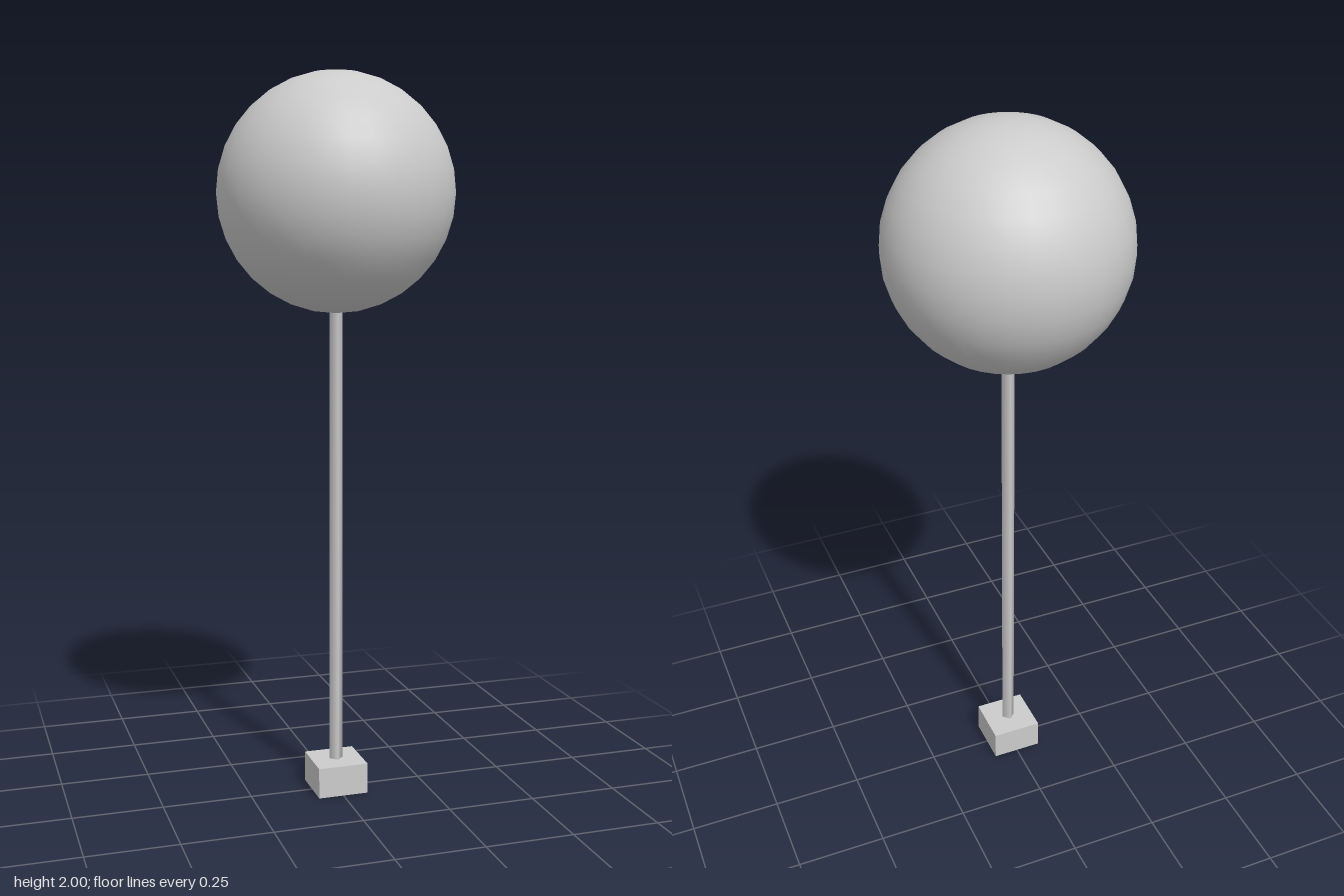
import * as THREE from 'three';
import { mergeVertices } from 'three/addons/utils/BufferGeometryUtils.js';

const material = new THREE.MeshStandardMaterial({ color: 0xcccccc });

function part(name, geometry, y) {
  const mesh = new THREE.Mesh(geometry, material);
  mesh.name = name;
  mesh.position.y = y;
  return mesh;
}

// Weld shared corners so shading flows across the caps
function weld(geometry) {
  geometry.deleteAttribute('normal');
  geometry.deleteAttribute('uv');
  const welded = mergeVertices(geometry);
  welded.computeVertexNormals();
  return welded;
}

export function createModel() {
  const group = new THREE.Group();
  const radius = 0.323, baseHeight = 0.086;
  const ballY = 2 - radius;

  // Square foot block
  group.add(part('base', new THREE.BoxGeometry(0.143, baseHeight, 0.143), baseHeight / 2));

  // Slim four-sided pole, corners on the axes, reaching just into the ball
  const bottom = baseHeight - 0.005, top = ballY - radius + 0.02;
  const pole = weld(new THREE.CylinderGeometry(0.019, 0.019, top - bottom, 4));
  group.add(part('pole', pole, (top + bottom) / 2));

  // Round ball on top
  group.add(part('ball', new THREE.SphereGeometry(radius, 32, 16), ballY));
  return group;
}
